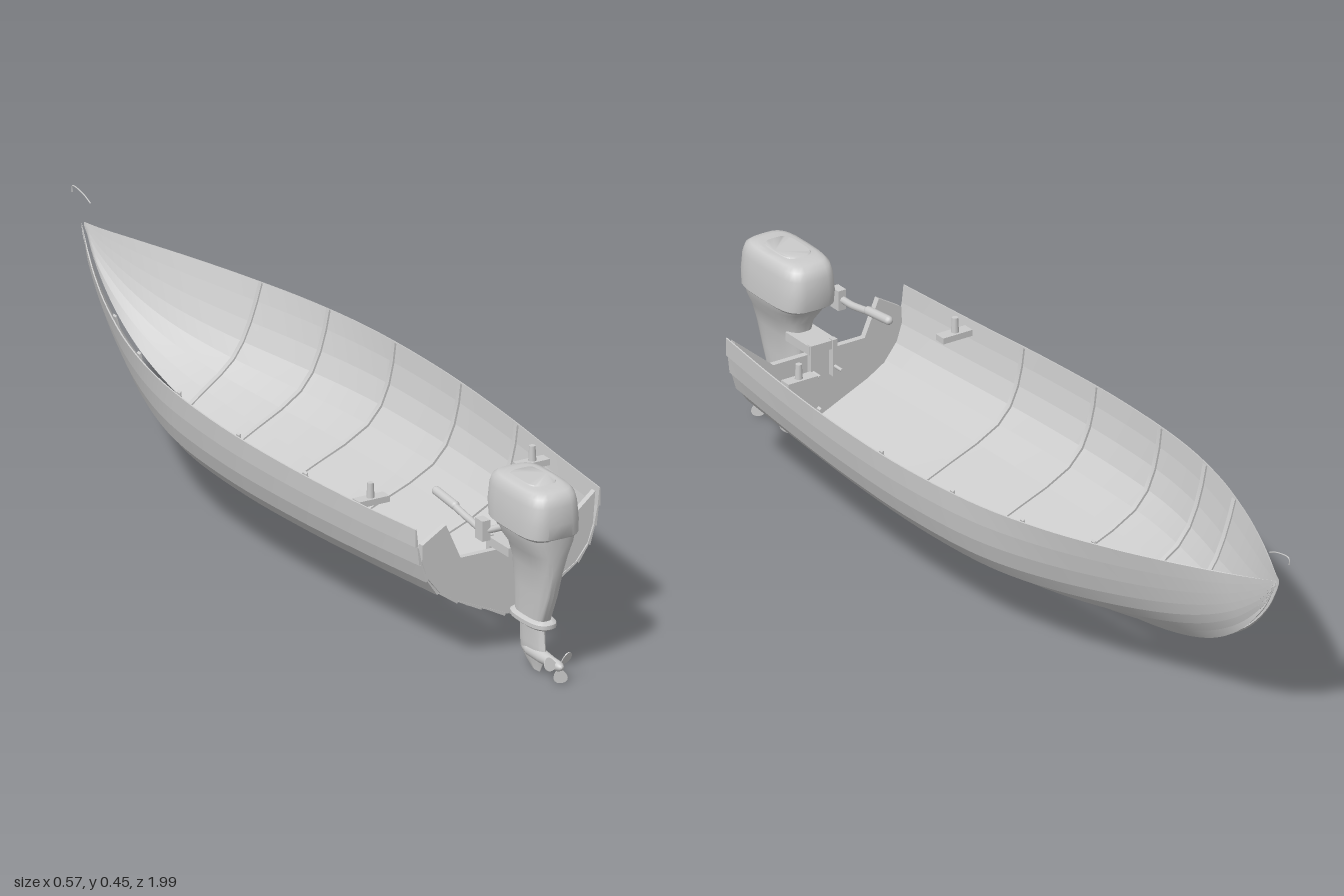
import * as THREE from 'three';
import { toCreasedNormals } from 'three/addons/utils/BufferGeometryUtils.js';

const V = (x, y, z) => new THREE.Vector3(x, y, z);
const grey = new THREE.MeshStandardMaterial({ color: 0xcccccc, side: THREE.DoubleSide });

function add(parent, name, geometry, x = 0, y = 0, z = 0) {
  const mesh = new THREE.Mesh(geometry, grey);
  mesh.name = name;
  mesh.position.set(x, y, z);
  parent.add(mesh);
  return mesh;
}

// Skin a list of closed rings, with flat caps on both ends
function skin(rings, crease = 0.6, flip = false) {
  const n = rings[0].length, pos = [], idx = [];
  const tri = (a, b, c) => flip ? idx.push(a, c, b) : idx.push(a, b, c);
  rings.forEach(r => r.forEach(p => pos.push(p.x, p.y, p.z)));
  for (let i = 0; i < rings.length - 1; i++) {
    for (let j = 0; j < n; j++) {
      const a = i * n + j, b = i * n + (j + 1) % n;
      tri(a, a + n, b);
      tri(b, a + n, b + n);
    }
  }
  const last = (rings.length - 1) * n;
  for (let j = 1; j < n - 1; j++) {
    tri(0, j, j + 1);
    tri(last, last + j + 1, last + j);
  }
  const g = new THREE.BufferGeometry();
  g.setAttribute('position', new THREE.Float32BufferAttribute(pos, 3));
  g.setIndex(idx);
  return toCreasedNormals(g, crease);
}

// Rounded-rectangle sections stacked upwards: [y, half width, z back, z front]
function stack(rows, power = 0.55, n = 28) {
  const soft = v => Math.sign(v) * Math.abs(v) ** power;
  return skin(rows.map(([y, w, z0, z1]) => Array.from({ length: n }, (_, j) => {
    const a = j / n * Math.PI * 2;
    return V(w * soft(Math.cos(a)), y, (z0 + z1) / 2 + (z1 - z0) / 2 * soft(Math.sin(a)));
  })), 0.7);
}

// Hull lines: [z, half beam, sheer height, keel height]
const lines = [
  [0.77, 0.226, 0.328, 0.092], [0.55, 0.25, 0.325, 0.087], [0.3, 0.272, 0.328, 0.08],
  [0.05, 0.28, 0.333, 0.075], [-0.2, 0.265, 0.34, 0.078], [-0.4, 0.226, 0.348, 0.094],
  [-0.58, 0.168, 0.357, 0.122], [-0.72, 0.112, 0.365, 0.163], [-0.83, 0.062, 0.372, 0.224],
  [-0.91, 0.024, 0.378, 0.3], [-0.955, 0.003, 0.384, 0.375],
];
const sheer = new THREE.CatmullRomCurve3(lines.map(l => V(l[1], l[2], l[0])), false, 'catmullrom');
const keel = new THREE.CatmullRomCurve3(lines.map(l => V(0, l[3], l[0])), false, 'catmullrom');
const profile = [[0, 0], [0.28, 0.11], [0.54, 0.22], [0.75, 0.34], [0.87, 0.48], [0.94, 0.65], [0.98, 0.83], [1, 1]];

// Half section of the hull; it sharpens to a V towards the bow
function section(t) {
  const s = sheer.getPoint(t), k = keel.getPoint(t);
  const sharp = THREE.MathUtils.smoothstep(-s.z, 0.1, 0.95) * 0.75;
  return profile.map(([u, v]) => V(
    Math.max(Math.min(0.005, s.x), s.x * THREE.MathUtils.lerp(u, v ** 0.8, sharp)),
    k.y + (s.y - k.y) * v, s.z));
}

// One overlapping plank, its lower edge standing proud of the one below
function strake(i, side) {
  const rings = [];
  for (let m = 0; m <= 48; m++) {
    const pts = section(m / 48), a = pts[i], b = pts[i + 1];
    const size = Math.min(1, sheer.getPoint(m / 48).x / 0.06);
    const out = V(b.y - a.y, a.x - b.x, 0).normalize().multiplyScalar(size);
    const ring = [a.clone(), a.clone().addScaledVector(out, 0.007), b.clone().addScaledVector(out, 0.003), b.clone()];
    ring.forEach(p => { p.x = side * Math.max(p.x, 0.003); });
    rings.push(ring);
  }
  return skin(rings, 0.5, side < 0);
}

// Thin frame bent along the inside of the hull
function rib(t, side) {
  const rings = section(t).map(p => {
    const x = side * Math.max(p.x - 0.004, 0.005), y = p.y + 0.004;
    return [V(x, y - 0.004, p.z - 0.006), V(x, y - 0.004, p.z + 0.006), V(x * 0.985, y, p.z + 0.006), V(x * 0.985, y, p.z - 0.006)];
  });
  return skin(rings, 0.5, side < 0);
}

function createHull() {
  const hull = new THREE.Group();
  hull.name = 'hull';
  for (const side of [1, -1]) {
    const word = side > 0 ? 'left' : 'right';
    for (let i = 0; i < profile.length - 1; i++) add(hull, word + 'Strake' + (i + 1), strake(i, side));
    for (const t of [0.17, 0.27, 0.37, 0.47, 0.57]) add(hull, word + 'Rib', rib(t, side));
    add(hull, word + 'OarlockBlock', new THREE.BoxGeometry(0.075, 0.014, 0.028), side * 0.198, 0.31, 0.54);
    add(hull, word + 'OarlockPin', new THREE.CylinderGeometry(0.007, 0.009, 0.035, 10), side * 0.2, 0.333, 0.54);
  }

  // Transom with the cut-out for the motor
  const half = [[0.1, 0.128], [0.165, 0.168], [0.198, 0.21], [0.211, 0.25], [0.217, 0.322]];
  const outline = [[0, 0.088], ...half, [0.118, 0.24], [-0.116, 0.24], [-0.152, 0.322], [-0.21, 0.287],
    ...half.slice(0, 4).reverse().map(([x, y]) => [-x, y])];
  const shape = new THREE.Shape(outline.map(([x, y]) => new THREE.Vector2(x, y)));
  add(hull, 'transom', new THREE.ExtrudeGeometry(shape, { depth: 0.014, bevelEnabled: false }), 0, 0, 0.754);

  // Loose painter line ahead of the stem
  const line = new THREE.CatmullRomCurve3([V(0, 0.438, -0.925), V(0, 0.449, -0.955), V(0, 0.452, -0.998), V(0, 0.438, -0.998)]);
  add(hull, 'bowLine', new THREE.TubeGeometry(line, 16, 0.0015, 6));
  return hull;
}

function createMotor() {
  const motor = new THREE.Group();
  motor.name = 'outboardMotor';
  add(motor, 'cowling', stack([
    [0.325, 0.058, 0.775, 0.975], [0.334, 0.067, 0.762, 0.984], [0.365, 0.067, 0.757, 0.987],
    [0.405, 0.063, 0.76, 0.985], [0.424, 0.059, 0.768, 0.978], [0.433, 0.052, 0.782, 0.966], [0.436, 0.042, 0.8, 0.95],
  ]));
  add(motor, 'cowlingTopPanel', stack([[0.434, 0.036, 0.815, 0.93], [0.438, 0.033, 0.82, 0.925]]));
  add(motor, 'driveLeg', stack([
    [0.12, 0.021, 0.815, 0.925], [0.19, 0.024, 0.812, 0.955], [0.245, 0.03, 0.81, 0.97],
    [0.285, 0.042, 0.805, 0.978], [0.315, 0.06, 0.785, 0.98], [0.335, 0.065, 0.77, 0.982],
  ], 0.7));
  add(motor, 'cavitationPlate', stack([
    [0.107, 0.025, 0.81, 0.935], [0.112, 0.031, 0.802, 0.942], [0.121, 0.031, 0.802, 0.942], [0.126, 0.024, 0.81, 0.935],
  ], 0.75));
  add(motor, 'lowerLeg', stack([
    [0.002, 0.003, 0.87, 0.9], [0.02, 0.005, 0.84, 0.91], [0.04, 0.011, 0.825, 0.925],
    [0.06, 0.01, 0.822, 0.92], [0.11, 0.012, 0.822, 0.915],
  ], 0.9));

  // Gear case, turned along the shaft
  const bulb = [[0, 0], [0.009, 0.008], [0.014, 0.03], [0.015, 0.08], [0.012, 0.115], [0.011, 0.145], [0.006, 0.156], [0, 0.158]]
    .map(([r, h]) => new THREE.Vector2(r, h));
  add(motor, 'gearCase', new THREE.LatheGeometry(bulb, 20), 0, 0.04, 0.832).rotation.x = Math.PI / 2;

  // Three pitched propeller blades
  const blade = new THREE.Shape();
  blade.moveTo(-0.005, 0.008);
  blade.bezierCurveTo(-0.022, 0.022, -0.02, 0.038, -0.002, 0.039);
  blade.bezierCurveTo(0.016, 0.038, 0.018, 0.024, 0.005, 0.008);
  const bladeGeo = new THREE.ExtrudeGeometry(blade, { depth: 0.002, bevelEnabled: false, curveSegments: 10 });
  bladeGeo.rotateY(0.5);
  const propeller = new THREE.Group();
  propeller.name = 'propeller';
  propeller.position.set(0, 0.04, 0.975);
  for (let i = 0; i < 3; i++) add(propeller, 'blade', bladeGeo).rotation.z = -0.93 + i * Math.PI * 2 / 3;
  motor.add(propeller);

  // Clamp over the transom
  add(motor, 'clampBridge', new THREE.BoxGeometry(0.07, 0.02, 0.09), 0, 0.255, 0.785);
  for (const side of [1, -1]) {
    add(motor, 'clampArm', new THREE.BoxGeometry(0.012, 0.085, 0.014), side * 0.028, 0.225, 0.743);
    add(motor, 'clampScrew', new THREE.CylinderGeometry(0.004, 0.004, 0.04, 8), side * 0.028, 0.205, 0.73).rotation.x = Math.PI / 2;
  }

  // Tiller beside the cowling
  const path = new THREE.CatmullRomCurve3([V(-0.05, 0.318, 0.83), V(-0.088, 0.316, 0.82), V(-0.09, 0.32, 0.76), V(-0.09, 0.33, 0.7)]);
  add(motor, 'tillerArm', new THREE.TubeGeometry(path, 20, 0.008, 10));
  add(motor, 'tillerGrip', new THREE.CapsuleGeometry(0.01, 0.075, 4, 12), -0.09, 0.335, 0.665).rotation.x = Math.PI / 2 + 0.1;
  add(motor, 'tillerPivot', new THREE.BoxGeometry(0.02, 0.046, 0.03), -0.09, 0.317, 0.815);
  return motor;
}

export function createModel() {
  const boat = new THREE.Group();
  boat.name = 'motorBoat';
  boat.add(createHull(), createMotor());
  return boat;
}
